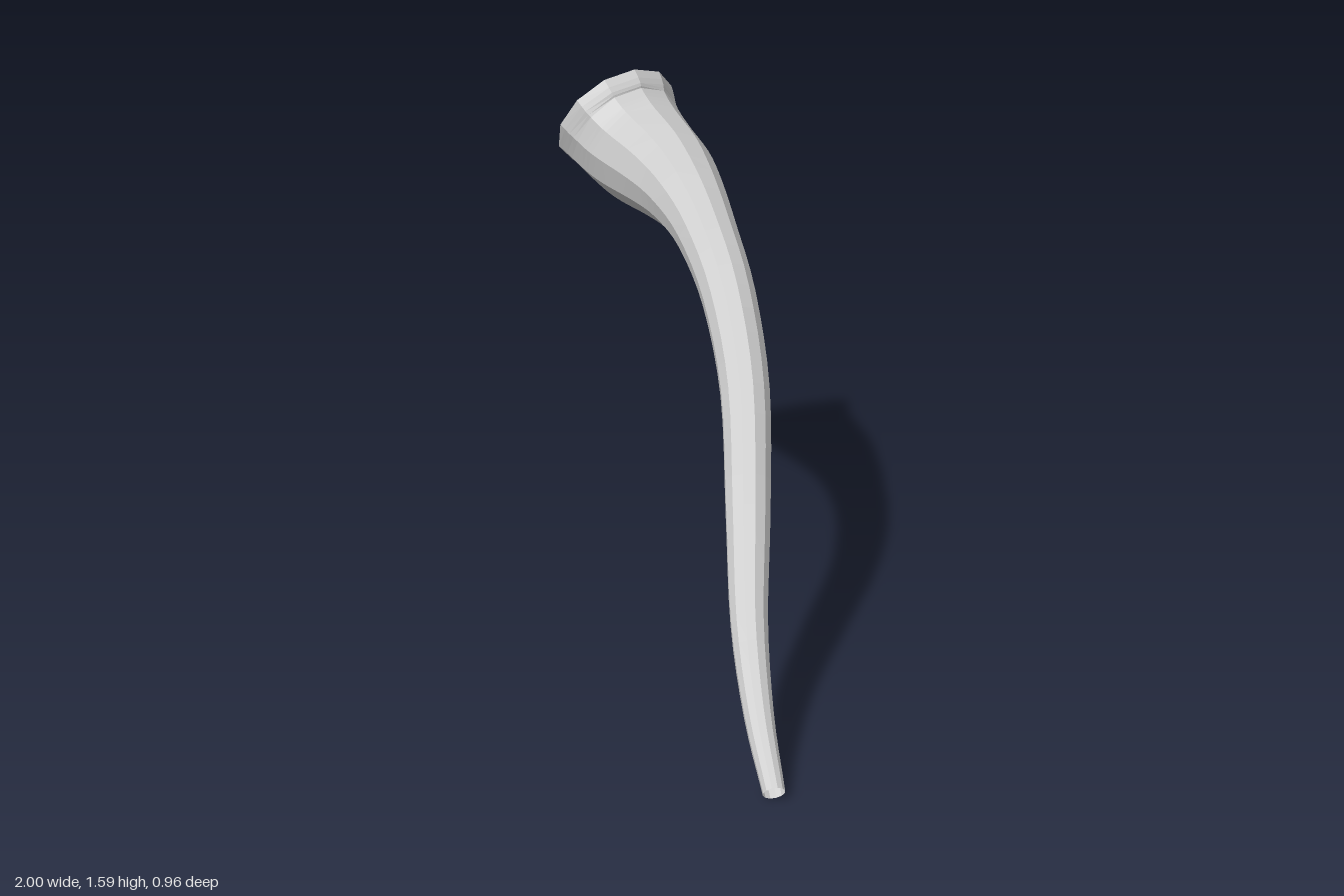
import * as THREE from 'three';

// Centreline stations from the flared mouth to the thin tip: x, y, z, radius
const STATIONS = [
  [-0.88, 1.417, -0.272, 0.21],
  [-0.81, 1.37, -0.272, 0.188],
  [-0.71, 1.332, -0.268, 0.173],
  [-0.53, 1.3, -0.245, 0.147],
  [-0.365, 1.265, -0.205, 0.118],
  [-0.195, 1.197, -0.157, 0.094],
  [0.005, 1.06, -0.095, 0.082],
  [0.2, 0.84, -0.013, 0.074],
  [0.4, 0.565, 0.12, 0.066],
  [0.6, 0.33, 0.26, 0.054],
  [0.8, 0.16, 0.372, 0.042],
  [0.98, 0.03, 0.453, 0.031],
];
const SIDES = 12;
const RINGS = 44;

// Sweeps a twelve-sided ring of changing radius along the centreline
function hornGeometry() {
  const spline = (points) => new THREE.CatmullRomCurve3(points, false, 'catmullrom', 0.5);
  const path = spline(STATIONS.map(([x, y, z]) => new THREE.Vector3(x, y, z)));
  const radius = spline(STATIONS.map((s, i) => new THREE.Vector3(s[3], i, 0)));
  const positions = [];
  const indices = [];
  const u = new THREE.Vector3(0, 1, 0);
  const v = new THREE.Vector3();

  for (let i = 0; i <= RINGS; i++) {
    const t = i / RINGS;
    const centre = path.getPoint(t);
    const tangent = path.getTangent(t);
    const r = radius.getPoint(t).x;
    // Carry the previous ring's frame forward so the facets do not twist
    u.addScaledVector(tangent, -u.dot(tangent)).normalize();
    v.crossVectors(tangent, u);
    for (let j = 0; j < SIDES; j++) {
      const a = (j / SIDES) * Math.PI * 2;
      const p = centre.clone()
        .addScaledVector(u, r * Math.cos(a))
        .addScaledVector(v, r * Math.sin(a));
      positions.push(p.x, p.y, p.z);
      if (i < RINGS) {
        const k = (j + 1) % SIDES;
        const here = i * SIDES;
        const next = here + SIDES;
        indices.push(here + j, here + k, next + j, here + k, next + k, next + j);
      }
    }
  }

  const geometry = new THREE.BufferGeometry();
  geometry.setAttribute('position', new THREE.Float32BufferAttribute(positions, 3));
  geometry.setIndex(indices);
  // Separate faces give crisp facets
  const faceted = geometry.toNonIndexed();
  faceted.computeVertexNormals();
  return faceted;
}

export function createModel() {
  const model = new THREE.Group();
  model.name = 'curvedHorn';

  const hornGrey = new THREE.MeshStandardMaterial({
    color: 0xcccccc,
    flatShading: true,
    side: THREE.DoubleSide,
  });
  hornGrey.name = 'horn grey';

  // Hollow shell, open at the mouth and at the tip
  const horn = new THREE.Mesh(hornGeometry(), hornGrey);
  horn.name = 'hornShell';
  model.add(horn);
  return model;
}
